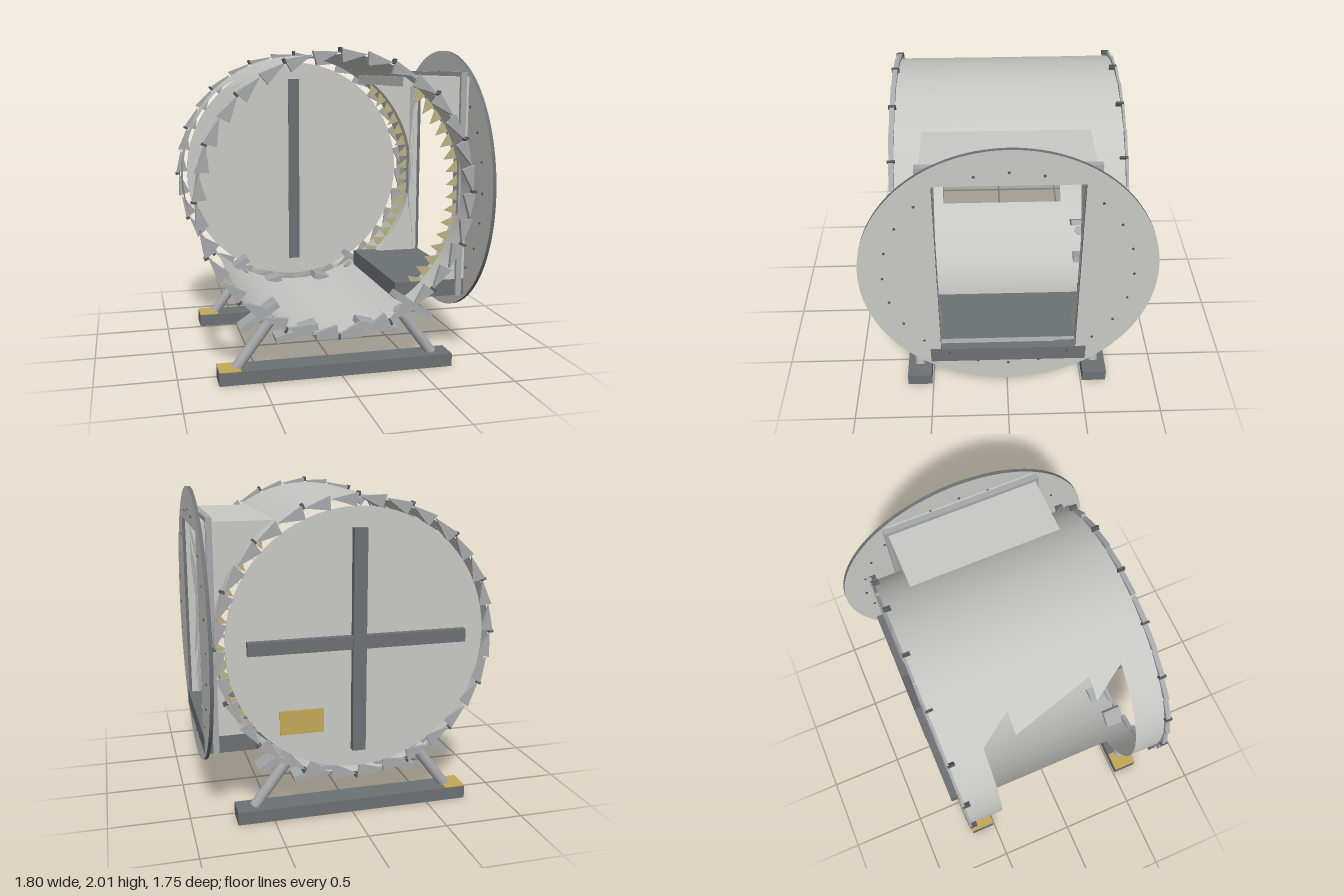
import * as THREE from 'three';

const mat = (name, color, side = THREE.FrontSide) => {
  const m = new THREE.MeshStandardMaterial({ color, side });
  m.name = name;
  return m;
};
const CX = -0.02, CY = 1.122, R = 0.845; // drum axis and radius
const rad = THREE.MathUtils.degToRad;
const polar = (r, deg) => new THREE.Vector2(CX + r * Math.cos(rad(deg)), CY + r * Math.sin(rad(deg)));

// curved drum panel between two z values; each end has its own angle range
function drumPatch(z0, s0, e0, z1, s1, e1) {
  const n = Math.max(8, Math.ceil((e0 - s0) / 4)), pos = [], nor = [], idx = [];
  for (let i = 0; i <= n; i++) {
    for (const [z, s, e] of [[z0, s0, e0], [z1, s1, e1]]) {
      const a = s + (e - s) * i / n, p = polar(R, a);
      pos.push(p.x, p.y, z);
      nor.push(Math.cos(rad(a)), Math.sin(rad(a)), 0);
    }
    if (i < n) {
      const k = i * 2;
      idx.push(k, k + 2, k + 1, k + 1, k + 2, k + 3);
    }
  }
  const g = new THREE.BufferGeometry();
  g.setAttribute('position', new THREE.Float32BufferAttribute(pos, 3));
  g.setAttribute('normal', new THREE.Float32BufferAttribute(nor, 3));
  g.setIndex(idx);
  return g;
}

const extrude = (shape, depth) => new THREE.ExtrudeGeometry(shape, { depth, bevelEnabled: false, curveSegments: 64 });

// rectangular path in the side plane
function rectPath(path, w, y0, y1) {
  path.moveTo(-w, y0); path.lineTo(w, y0); path.lineTo(w, y1); path.lineTo(-w, y1); path.closePath();
  return path;
}

export function createModel() {
  const light = mat('lightGrey', 0xc8c8c5);
  const shell = mat('shellGrey', 0xc6c6c3, THREE.DoubleSide);
  const mid = mat('midGrey', 0xa6a8aa);
  const dark = mat('darkGrey', 0x6c7173);
  const bolt = mat('boltGrey', 0x55595b);
  const ochre = mat('ochre', 0xc4a858);
  const tan = mat('tan', 0xbcb080, THREE.DoubleSide);
  const root = new THREE.Group();

  const add = (name, geo, material, x = 0, y = 0, z = 0, parent = root) => {
    const m = new THREE.Mesh(geo, material);
    m.name = name;
    m.position.set(x, y, z);
    parent.add(m);
    return m;
  };
  // box given by its limits
  const box = (name, material, x0, x1, y0, y1, z0, z1) =>
    add(name, new THREE.BoxGeometry(x1 - x0, y1 - y0, z1 - z0), material, (x0 + x1) / 2, (y0 + y1) / 2, (z0 + z1) / 2);

  // drum skin with a jagged opening on one side and a duct opening on the other
  const drum = new THREE.Group();
  drum.name = 'drumShell';
  root.add(drum);
  const LOW = 134.8, HIGH = 123.8;
  [
    [0.65, 0, 360, 0.485, 0, 360],
    [0.485, 50, 310, 0.45, 50, 310],
    [0.45, 50, HIGH, 0.25, 50, LOW],
    [0.25, 50, HIGH, -0.26, 50, LOW],
    [-0.26, 50, HIGH, -0.46, 50, LOW],
    [0.45, 225.2, 310, -0.46, 225.2, 310],
    [-0.46, 50, 310, -0.485, 50, 310],
    [-0.485, 0, 360, -0.68, 0, 360],
  ].forEach((p) => add('drumPanel', drumPatch(...p), shell, 0, 0, 0, drum));

  // toothed rings at both ends
  const teeth = [];
  for (let i = 0; i < 32; i++) {
    const a = i * 11.25;
    teeth.push(new THREE.Shape([polar(0.857, a), polar(0.877, a + 11), polar(0.795, a + 10.2)]));
  }
  add('frontToothRing', extrude(teeth, 0.029), mid, 0, 0, 0.643);
  add('backToothRing', extrude(teeth, 0.015), mid, 0, 0, -0.69);

  // ring bolts
  const boltGeo = new THREE.BoxGeometry(0.03, 0.014, 0.045);
  for (let i = 0; i < 16; i++) {
    const p = polar(0.868, i * 22.5);
    for (const z of [0.656, -0.665]) {
      add('ringBolt', boltGeo, bolt, p.x, p.y, z).rotation.z = rad(i * 22.5);
    }
  }

  // back cover with its cross bars and label plate
  const cover = new THREE.CylinderGeometry(0.8, 0.8, 0.014, 64);
  cover.rotateX(Math.PI / 2);
  add('backCover', cover, light, CX, CY, -0.683);
  box('verticalBar', dark, -0.06, 0.022, 0.44, 1.8, -0.735, -0.672);
  box('horizontalBar', dark, -0.693, 0.655, 1.082, 1.162, -0.733, -0.688);
  box('labelPlate', ochre, 0.195, 0.465, 0.57, 0.72, -0.699, -0.69);

  // duct side walls, cut to the curve of the drum
  const wall = new THREE.Shape();
  wall.moveTo(0.872, 0.415);
  wall.lineTo(0.872, 1.83);
  for (let a = 57; a >= -57; a -= 3) {
    const p = polar(R, a);
    wall.lineTo(p.x, p.y);
  }
  wall.closePath();
  for (const z of [0.42, -0.485]) add('ductSide', extrude(wall, 0.065), light, 0, 0, z);
  box('ductTop', light, 0.43, 0.872, 1.77, 1.832, -0.487, 0.487);
  box('ductFloor', dark, 0.4, 0.895, 0.412, 0.52, -0.486, 0.486);

  // teeth around the duct mouth
  const mouth = [];
  for (let i = 0; i < 16; i++) {
    const a = 50 - i * 6.25;
    mouth.push(new THREE.Shape([polar(0.84, a), polar(0.755, a - 4.5), polar(0.84, a - 5.5)]));
  }
  for (const z of [0.475, -0.481]) add('mouthTeeth', extrude(mouth, 0.006), tan, 0, 0, z);

  // duct collar and round end flange, each with a rectangular opening
  const collar = rectPath(new THREE.Shape(), 0.51, 0.415, 1.86);
  collar.holes.push(rectPath(new THREE.Path(), 0.42, 0.52, 1.77));
  add('ductCollar', extrude(collar, 0.037), mid, 0.807, 0, 0).rotation.y = Math.PI / 2;
  const flange = new THREE.Shape();
  flange.absarc(0, CY, 0.877, 0, Math.PI * 2, false);
  flange.holes.push(rectPath(new THREE.Path(), 0.42, 0.52, 1.77));
  add('endFlange', extrude(flange, 0.022), [light, dark], 0.87, 0, 0).rotation.y = Math.PI / 2;

  // flange bolts
  const dot = new THREE.CylinderGeometry(0.008, 0.008, 0.032, 8);
  dot.rotateZ(Math.PI / 2);
  for (let i = 0; i < 24; i++) {
    if (i === 2 || i === 22) continue;
    const a = rad(i * 15);
    add('flangeBolt', dot, bolt, 0.881, CY + 0.735 * Math.cos(a), 0.735 * Math.sin(a));
  }

  // support stands under each end of the drum
  for (const s of [1, -1]) {
    const z = s * 0.59;
    box('baseBeam', dark, -0.762, 0.725, 0, 0.083, z - 0.08, z + 0.08);
    box('beamPad', ochre, -0.762, -0.63, 0.083, 0.088, z - 0.08, z + 0.08);
    box('bottomSaddle', mid, -0.16, 0.125, 0.235, 0.27, z - 0.065, z + 0.065);
    for (const side of [1, -1]) {
      const from = new THREE.Vector3(CX + side * 0.63, 0.08, z);
      const to = new THREE.Vector3(CX + side * 0.4, 0.39, z);
      const dir = to.clone().sub(from);
      const strut = add('strut', new THREE.CylinderGeometry(0.034, 0.034, dir.length(), 20), mid);
      strut.position.copy(from).add(to).multiplyScalar(0.5);
      strut.quaternion.setFromUnitVectors(new THREE.Vector3(0, 1, 0), dir.normalize());
      for (const [dx, y, tilt] of [[0.49, 0.405, 34], [0.26, 0.288, 15]]) {
        add('saddle', new THREE.BoxGeometry(0.27, 0.04, 0.13), mid, CX + side * dx, y, z).rotation.z = -side * rad(tilt);
      }
    }
  }
  return root;
}
